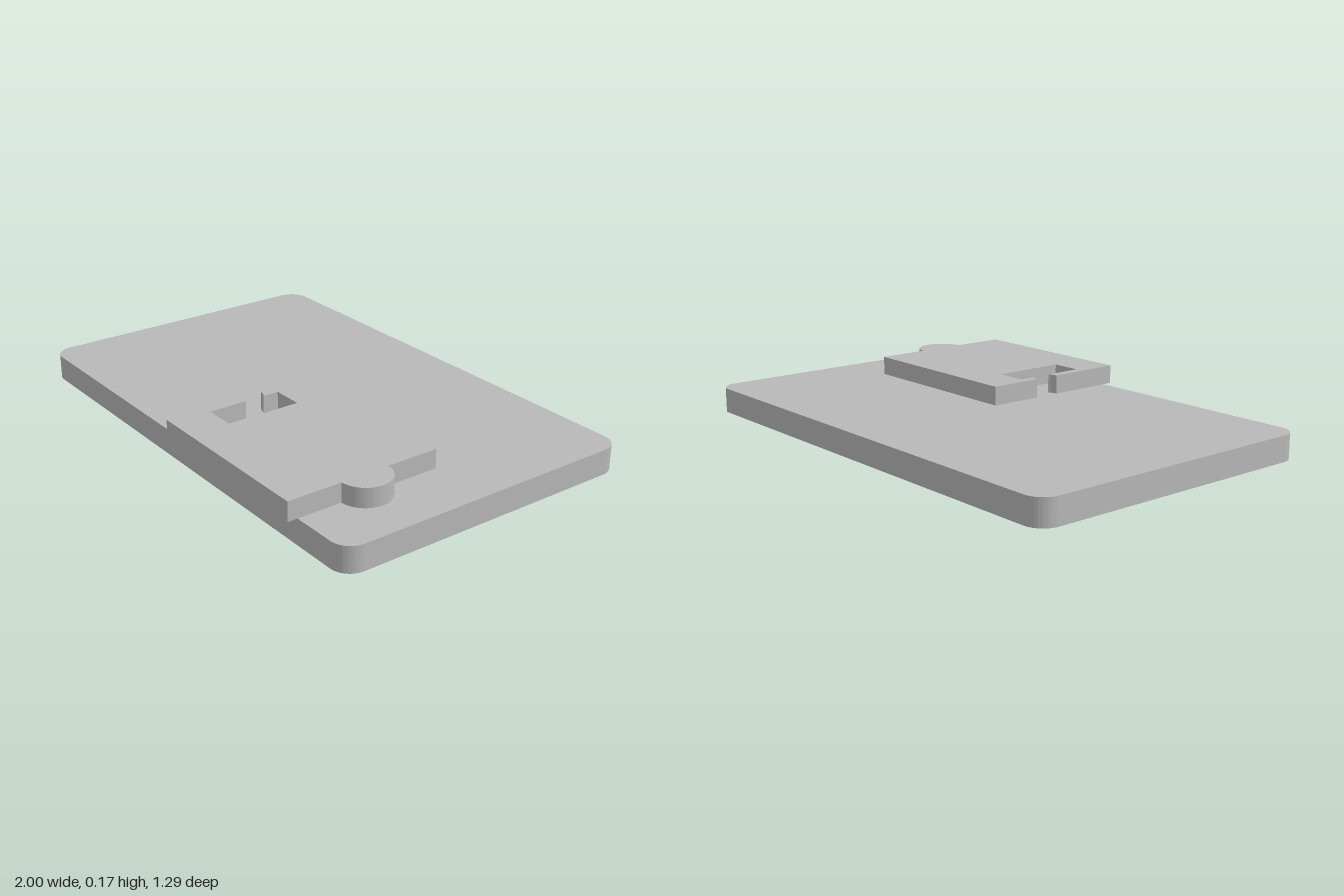
import * as THREE from 'three';
import { toCreasedNormals } from 'three/addons/utils/BufferGeometryUtils.js';

// Extrude a plan drawn in (x, z) between two heights
function slab(name, shape, bottom, top, material) {
  const geo = new THREE.ExtrudeGeometry(shape, { depth: top - bottom, bevelEnabled: false, curveSegments: 20 });
  geo.rotateX(Math.PI / 2).translate(0, top, 0);
  const mesh = new THREE.Mesh(toCreasedNormals(geo, Math.PI / 6), material);
  mesh.name = name;
  return mesh;
}

// Rectangle with rounded corners
function roundedRect(x0, z0, x1, z1, r) {
  const s = new THREE.Shape();
  s.absarc(x1 - r, z0 + r, r, -Math.PI / 2, 0);
  s.absarc(x1 - r, z1 - r, r, 0, Math.PI / 2);
  s.absarc(x0 + r, z1 - r, r, Math.PI / 2, Math.PI);
  s.absarc(x0 + r, z0 + r, r, Math.PI, Math.PI * 1.5);
  s.closePath();
  return s;
}

// Plate with a round tab on one side and a slotted notch on the other
function tabbedPlate() {
  const s = new THREE.Shape();
  const notchZ = 0.285, notchR = 0.0525, slotX = 0.035;
  const a = Math.acos(slotX / notchR);
  s.moveTo(0, 0.017);
  s.lineTo(0.75, 0.017);
  s.lineTo(0.75, 0.228);
  s.absarc(0.747, 0.328, 0.099, -Math.PI / 2, Math.PI / 2); // round tab
  s.lineTo(0.75, 0.427);
  s.lineTo(0.75, 0.643);
  s.lineTo(0, 0.643);
  s.lineTo(0, notchZ + notchR);
  s.absarc(0, notchZ, notchR, Math.PI / 2, a, true); // notch mouth
  s.lineTo(slotX, 0.48);
  s.lineTo(0.16, 0.48);
  s.lineTo(0.16, 0.18);
  s.lineTo(slotX, 0.18);
  s.absarc(0, notchZ, notchR, -a, -Math.PI / 2, true);
  s.closePath();
  return s;
}

export function createModel() {
  const grey = new THREE.MeshStandardMaterial({ color: 0xb8b8b8 });
  grey.name = 'light grey';
  const model = new THREE.Group();
  model.name = 'tabbedPlateOnBase';
  model.add(
    slab('base', roundedRect(-1, -0.645, 1, 0.604, 0.077), 0, 0.1, grey),
    slab('tabbedPlate', tabbedPlate(), 0.1, 0.175, grey)
  );
  return model;
}
